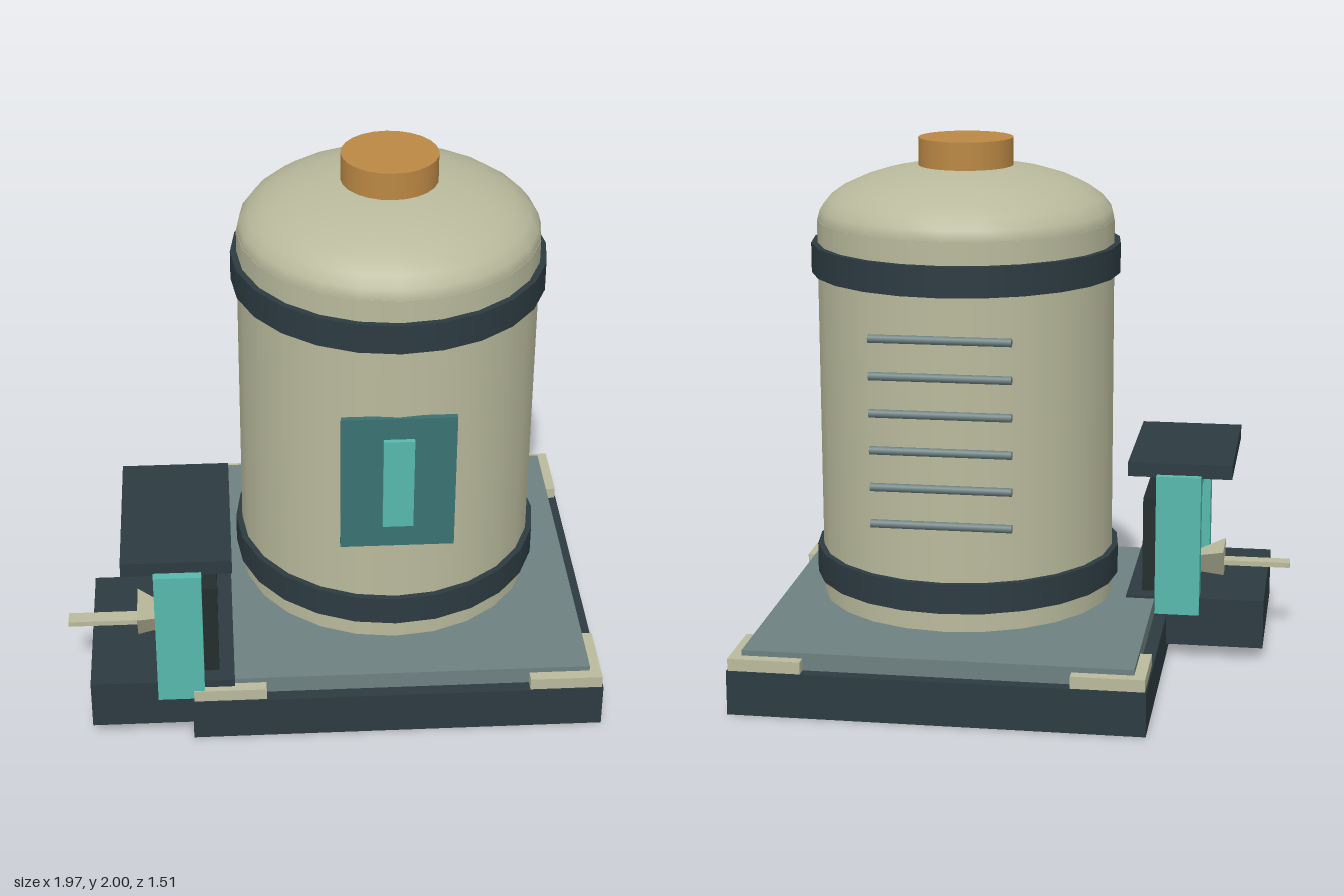
import * as THREE from 'three';

const material = (color) => new THREE.MeshStandardMaterial({ color });

export function createModel() {
  const model = new THREE.Group();
  const cream = material(0xb9ba9c), dark = material(0x2c3b41), teal = material(0x57b9ad);
  const panelTeal = material(0x3a7272), slate = material(0x6e8181);
  const copper = material(0xbb8844), black = material(0x232d2d);
  const CX = 0.225; // tank and platform centre
  const SIDES = 24;

  const add = (name, geometry, mat, parent = model) => {
    const mesh = new THREE.Mesh(geometry, mat);
    mesh.name = name;
    parent.add(mesh);
    return mesh;
  };
  // box given by its extents
  const box = (name, mat, x0, x1, y0, y1, z0, z1, parent) => {
    const mesh = add(name, new THREE.BoxGeometry(x1 - x0, y1 - y0, z1 - z0), mat, parent);
    mesh.position.set((x0 + x1) / 2, (y0 + y1) / 2, (z0 + z1) / 2);
    return mesh;
  };
  // upright cylinder on the tank axis
  const drum = (name, mat, r, y0, y1) => {
    const mesh = add(name, new THREE.CylinderGeometry(r, r, y1 - y0, SIDES), mat);
    mesh.position.set(CX, (y0 + y1) / 2, 0);
    return mesh;
  };

  // platform with raised deck and L-shaped corner trims
  box('platform', dark, CX - 0.755, CX + 0.755, 0, 0.165, -0.755, 0.755);
  box('deck', slate, CX - 0.708, CX + 0.708, 0.16, 0.23, -0.708, 0.708);
  const trim = new THREE.Shape();
  [[0.485, 0.75], [0.485, 0.705], [0.705, 0.705], [0.705, 0.485], [0.75, 0.485], [0.75, 0.75]]
    .forEach(([x, y], i) => (i ? trim.lineTo(x, y) : trim.moveTo(x, y)));
  const trimGeometry = new THREE.ExtrudeGeometry(trim, { depth: 0.05, bevelEnabled: false });
  trimGeometry.rotateX(-Math.PI / 2);
  for (let i = 0; i < 4; i++) {
    const corner = add('cornerTrim', trimGeometry, cream);
    corner.position.set(CX, 0.16, 0);
    corner.rotation.y = i * Math.PI / 2;
  }

  // tank, dome, cap and bands
  drum('tank', cream, 0.55, 0.28, 1.705);
  const dome = add('dome', new THREE.SphereGeometry(0.55, SIDES, 8, 0, Math.PI * 2, 0, Math.PI / 2), cream);
  dome.scale.y = 0.21 / 0.55;
  dome.position.set(CX, 1.7, 0);
  drum('cap', copper, 0.175, 1.88, 2);
  drum('lowerBand', dark, 0.573, 0.355, 0.465);
  drum('upperBand', dark, 0.573, 1.51, 1.62);

  // front panel
  box('panel', panelTeal, 0.02, 0.43, 0.7, 1.24, 0.538, 0.56);
  box('panelWindow', teal, 0.17, 0.28, 0.795, 1.155, 0.555, 0.578);

  // rods on the back
  for (let i = 0; i < 6; i++) {
    const rod = add('backRod', new THREE.CylinderGeometry(0.015, 0.015, 0.51, 10), slate);
    rod.rotation.z = Math.PI / 2;
    rod.position.set(CX, 0.685 + i * 0.135, -0.573);
  }

  // side gate
  const gate = new THREE.Group();
  gate.name = 'sideGate';
  model.add(gate);
  box('gateBase', dark, -0.9, -0.375, 0.05, 0.24, 0.07, 0.725, gate);
  box('frontPillar', teal, -0.655, -0.485, 0.175, 0.72, 0.665, 0.745, gate);
  box('backPillar', teal, -0.655, -0.485, 0.175, 0.72, 0.055, 0.135, gate);
  box('lintel', teal, -0.65, -0.49, 0.645, 0.715, 0.13, 0.67, gate);
  box('gateRoof', dark, -0.77, -0.375, 0.71, 0.765, 0.085, 0.712, gate);
  box('gateDoor', black, -0.485, -0.43, 0.235, 0.61, 0.135, 0.665, gate);

  // arrow pointing into the gate: flat shaft and three-sided head
  box('arrowShaft', cream, -0.988, -0.72, 0.28, 0.3, 0.37, 0.427, gate);
  const head = new THREE.ConeGeometry(0.115, 0.18, 3);
  head.rotateZ(-Math.PI / 2); // tip to +x
  const flatHead = head.toNonIndexed();
  flatHead.computeVertexNormals();
  // turn one corner of the triangle straight down
  const pos = flatHead.attributes.position;
  let corner = 0;
  for (let i = 0; i < pos.count; i++) if (pos.getX(i) < 0 && Math.hypot(pos.getY(i), pos.getZ(i)) > 0.1) corner = i;
  const angle = Math.atan2(pos.getZ(corner), pos.getY(corner));
  flatHead.rotateX(Math.PI - angle);
  const arrowHead = add('arrowHead', flatHead, cream, gate);
  arrowHead.position.set(-0.64, 0.295, 0.4);

  return model;
}
